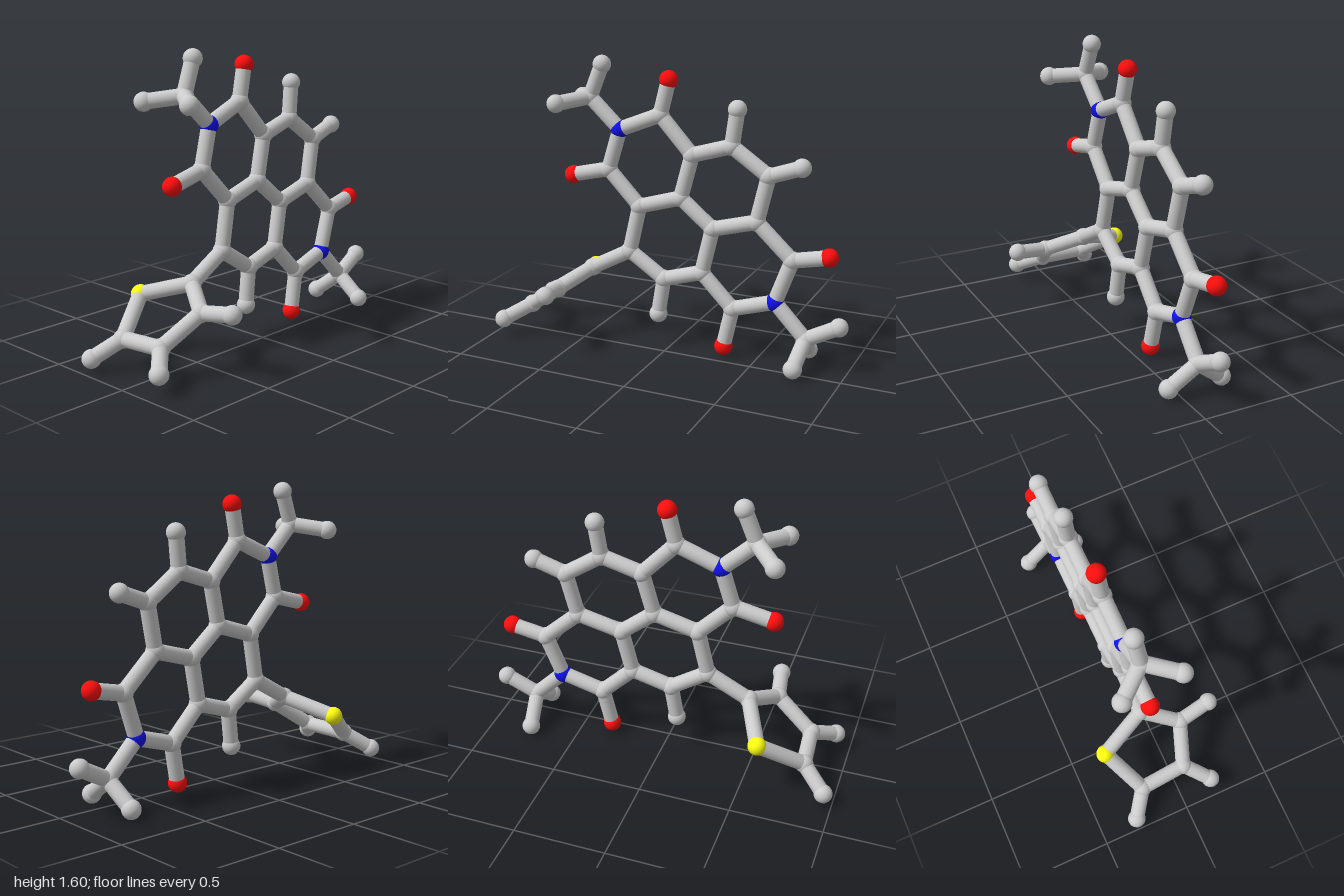
import * as THREE from 'three';

const BALL = 0.05, STICK = 0.041;

const materials = {
  C: new THREE.MeshStandardMaterial({ color: 0xcccccc }),
  O: new THREE.MeshStandardMaterial({ color: 0xff0d0d }),
  N: new THREE.MeshStandardMaterial({ color: 0x1010ee }),
  S: new THREE.MeshStandardMaterial({ color: 0xffff10 }),
};
materials.H = materials.C;

const names = { C: 'carbon', O: 'oxygen', N: 'nitrogen', S: 'sulfur', H: 'hydrogen' };

// The fused rings lie in one slightly tilted plane
const planeZ = (x, y) => -0.06 - 0.037 * x - 0.034 * y;

// id: [x, y, z]; the first letter is the element, z defaults to the plane
const atoms = {
  // fused ring core
  C1: [-0.07, 1.30], C2: [0.115, 1.10], C3: [0.335, 1.165], C4: [0.54, 1.025],
  C5: [0.485, 0.775], C6: [0.685, 0.59], C7: [0.365, 0.28], C8: [0.185, 0.46],
  C9: [0.24, 0.71], C10: [0.055, 0.86], C11: [-0.185, 0.79], C12: [-0.37, 0.98],
  C13: [-0.24, 0.53], C14: [-0.035, 0.395],
  N1: [-0.305, 1.205], N2: [0.60, 0.35],
  O1: [-0.025, 1.49], O2: [0.88, 0.63], O3: [0.32, 0.06], O4: [-0.585, 0.93],
  H1: [0.36, 1.36], H2: [0.715, 1.085], H3: [-0.065, 0.19],
  // upper methyl
  C15: [-0.48, 1.37, -0.085], H4: [-0.41, 1.55, -0.093],
  H5: [-0.60, 1.35, 0.08], H6: [-0.61, 1.34, -0.24],
  // lower methyl
  C16: [0.775, 0.17, -0.09], H7: [0.95, 0.26, -0.105],
  H8: [0.76, 0.06, 0.068], H9: [0.75, 0.05, -0.245],
  // five-sided side ring
  C17: [-0.47, 0.405, -0.06], S1: [-0.59, 0.32, -0.325], C18: [-0.82, 0.165, -0.20],
  C19: [-0.80, 0.175, 0.06], C20: [-0.59, 0.32, 0.13],
  H10: [-0.95, 0.07, -0.293], H11: [-0.92, 0.105, 0.18], H12: [-0.56, 0.345, 0.317],
};

// Each chain joins neighbouring atoms with sticks
const chains = {
  upperImideRing: 'C1 C2 C10 C11 C12 N1 C1',
  upperCoreRing: 'C2 C3 C4 C5 C9 C10',
  lowerImideRing: 'C5 C6 N2 C7 C8 C9',
  lowerCoreRing: 'C8 C14 C13 C11',
  sideRing: 'C17 S1 C18 C19 C20 C17',
  sideRingLink: 'C13 C17',
  oxygenBond1: 'C1 O1', oxygenBond2: 'C6 O2', oxygenBond3: 'C7 O3', oxygenBond4: 'C12 O4',
  hydrogenBond1: 'C3 H1', hydrogenBond2: 'C4 H2', hydrogenBond3: 'C14 H3',
  upperMethylStem: 'N1 C15 H4', upperMethylFork: 'H5 C15 H6',
  lowerMethylStem: 'N2 C16 H7', lowerMethylFork: 'H8 C16 H9',
  sideRingHydrogen1: 'C18 H10', sideRingHydrogen2: 'C19 H11', sideRingHydrogen3: 'C20 H12',
};

export function createModel() {
  const model = new THREE.Group();
  model.name = 'molecule';
  const ballGeometry = new THREE.SphereGeometry(BALL, 24, 16);
  const stickGeometry = new THREE.CylinderGeometry(STICK, STICK, 1, 20, 1, true);
  const up = new THREE.Vector3(0, 1, 0);
  const points = {};

  // Atom balls
  for (const [id, [x, y, z = planeZ(x, y)]] of Object.entries(atoms)) {
    points[id] = new THREE.Vector3(x, y, z);
    const ball = new THREE.Mesh(ballGeometry, materials[id[0]]);
    ball.name = `${names[id[0]]}Atom${id.slice(1)}`;
    ball.position.copy(points[id]);
    model.add(ball);
  }

  // Bond sticks
  for (const [name, chain] of Object.entries(chains)) {
    const group = new THREE.Group();
    group.name = name;
    const ids = chain.split(' ');
    for (let i = 0; i + 1 < ids.length; i++) {
      const a = points[ids[i]], b = points[ids[i + 1]];
      const direction = b.clone().sub(a);
      const stick = new THREE.Mesh(stickGeometry, materials.C);
      stick.name = 'bond';
      stick.position.copy(a).add(b).multiplyScalar(0.5);
      stick.scale.y = direction.length();
      stick.quaternion.setFromUnitVectors(up, direction.normalize());
      group.add(stick);
    }
    model.add(group);
  }
  return model;
}
